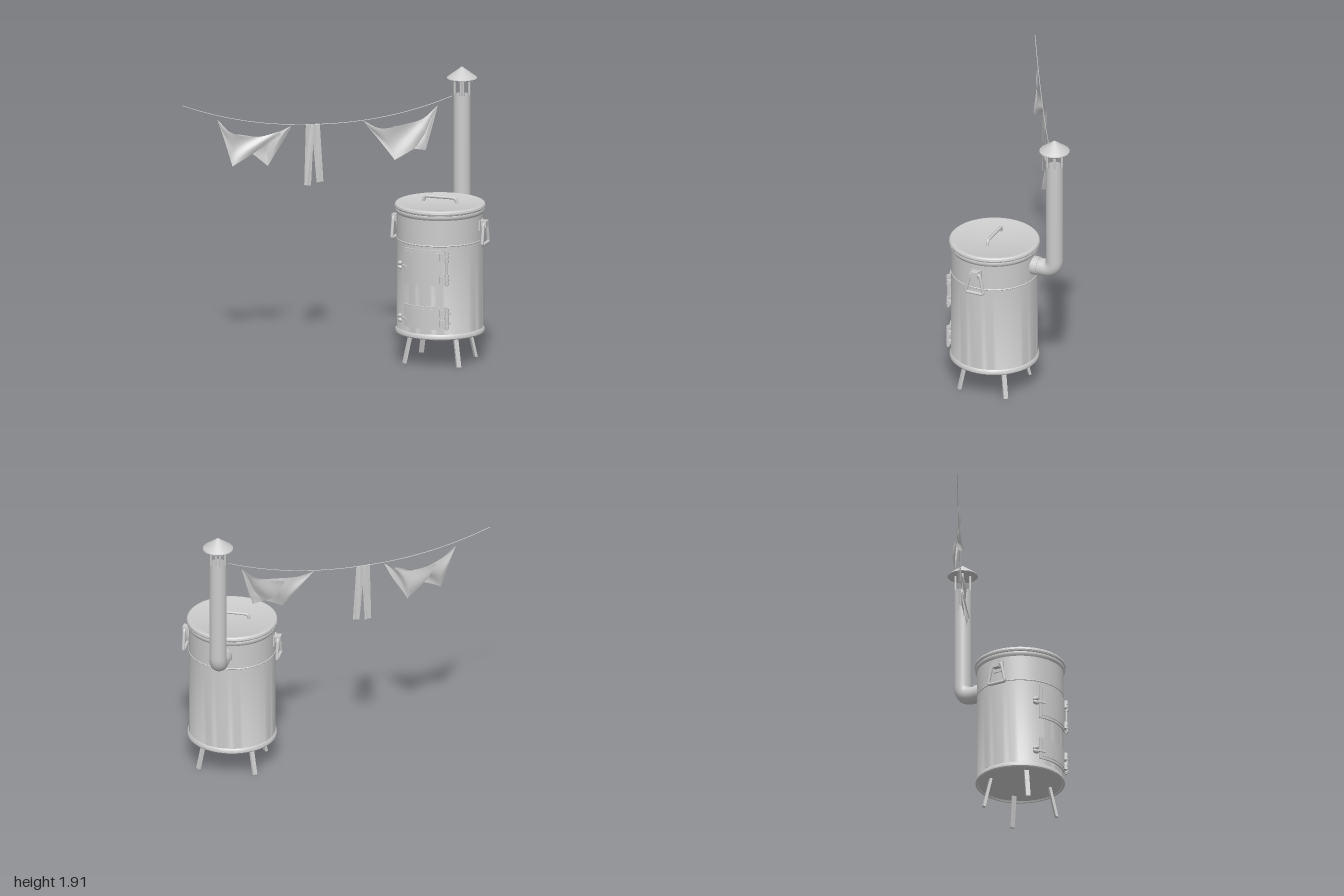
import * as THREE from 'three';
import { toCreasedNormals } from 'three/addons/utils/BufferGeometryUtils.js';

const grey = new THREE.MeshStandardMaterial({ color: 0xcccccc, roughness: 0.8 });
const thin = new THREE.MeshStandardMaterial({ color: 0xcccccc, roughness: 0.8, side: THREE.DoubleSide });
const V = (x, y, z) => new THREE.Vector3(x, y, z);

function add(parent, name, geometry, x = 0, y = 0, z = 0, material = grey) {
  const mesh = new THREE.Mesh(geometry, material);
  mesh.name = name;
  mesh.position.set(x, y, z);
  parent.add(mesh);
  return mesh;
}

function group(parent, name, x = 0, y = 0, z = 0, turn = 0) {
  const g = new THREE.Group();
  g.name = name;
  g.position.set(x, y, z);
  g.rotation.y = turn;
  parent.add(g);
  return g;
}

const lathe = (profile, sides = 64) => toCreasedNormals(
  new THREE.LatheGeometry(profile.map(([r, y]) => new THREE.Vector2(r, y)), sides), 0.6);

// Straight runs joined by rounded corners of a given radius
function roundedPath(points, radius, closed = false) {
  const path = new THREE.CurvePath();
  const n = points.length;
  const toward = (a, b) => a.clone().add(b.clone().sub(a).setLength(radius));
  const first = closed ? toward(points[0], points[1]) : points[0];
  let from = first;
  for (let i = 1; i < (closed ? n + 1 : n - 1); i++) {
    const corner = points[i % n];
    const enter = toward(corner, points[i - 1]);
    const leave = toward(corner, points[(i + 1) % n]);
    path.add(new THREE.LineCurve3(from, enter));
    path.add(new THREE.QuadraticBezierCurve3(enter, corner, leave));
    from = leave;
  }
  if (!closed) path.add(new THREE.LineCurve3(from, points[n - 1]));
  return path;
}

// Box wrapped around the drum, from one angle to another
function bentBox(a0, a1, height, inner, outer) {
  const geo = new THREE.BoxGeometry(a1 - a0, height, outer - inner, 16, 1, 1);
  const p = geo.attributes.position;
  for (let i = 0; i < p.count; i++) {
    const a = p.getX(i) + (a0 + a1) / 2;
    const r = p.getZ(i) + (inner + outer) / 2;
    p.setXYZ(i, Math.sin(a) * r, p.getY(i), Math.cos(a) * r);
  }
  geo.computeVertexNormals();
  return geo;
}

function buildDoor(parent, name, y, height, latchY) {
  const door = group(parent, name, 0, y, 0);
  const a0 = -0.605, a1 = 0.389;
  add(door, 'doorPlate', bentBox(a0, a1, height, 0.27, 0.298));
  add(door, 'doorPanel', bentBox(a0 + 0.06, a1 - 0.06, height - 0.036, 0.27, 0.302));

  // Hinge rod with two sets of knuckles and straps
  const hinge = group(door, 'hinge', Math.sin(0.486) * 0.308, 0, Math.cos(0.486) * 0.308, 0.486);
  add(hinge, 'hingeRod', new THREE.CylinderGeometry(0.008, 0.008, height + 0.005, 12));
  for (const side of [-1, 1]) {
    const cy = side * (height / 2 - 0.043);
    for (const k of [-1, 0, 1]) {
      add(hinge, 'hingeKnuckle', new THREE.CylinderGeometry(0.014, 0.014, 0.021, 14), 0, cy + k * 0.025, 0);
    }
    add(hinge, 'hingeStrap', new THREE.BoxGeometry(0.05, 0.05, 0.014), -0.022, cy, -0.006);
    add(hinge, 'hingeMount', new THREE.BoxGeometry(0.03, 0.022, 0.016), 0.014, cy, -0.008);
  }

  // Latch with a two-lobed knob
  const latch = group(door, 'latch', Math.sin(-0.69) * 0.305, latchY - y, Math.cos(0.69) * 0.305, -0.69);
  add(latch, 'latchBar', new THREE.BoxGeometry(0.07, 0.016, 0.012), 0.03, 0, -0.004);
  for (const side of [-1, 1]) {
    const lobe = add(latch, 'latchKnob', new THREE.SphereGeometry(0.018, 16, 10), -0.006, side * 0.013, 0.004);
    lobe.scale.set(1.25, 0.85, 0.8);
    lobe.rotation.z = side * 0.35;
  }
}

function buildSideHandle(parent, side) {
  const handle = group(parent, side > 0 ? 'leftHandle' : 'rightHandle');
  const x = side * 0.319;
  const ring = [V(x, 0.96, 0.04), V(x, 0.96, -0.035), V(x, 0.82, -0.065), V(x, 0.82, 0.065), V(x, 0.96, 0.035)];
  ring.shift();
  const path = roundedPath([ring[3], ring[0], ring[1], ring[2]], 0.018, true);
  add(handle, 'handleRing', new THREE.TubeGeometry(path, 100, 0.011, 10, true));
  add(handle, 'handleBracket', new THREE.BoxGeometry(0.055, 0.045, 0.05), side * 0.307, 0.955, 0);
  add(handle, 'bracketPlate', new THREE.BoxGeometry(0.016, 0.07, 0.075), side * 0.289, 0.945, 0);
}

function buildStove(parent) {
  const stove = group(parent, 'stove', 0.66, 0, 0.04);

  // Drum with rolled rims and a raised seam
  add(stove, 'drum', lathe([
    [0, 0.21], [0.28, 0.21], [0.285, 0.2], [0.294, 0.2], [0.299, 0.207], [0.299, 0.22], [0.294, 0.23],
    [0.289, 0.236], [0.289, 0.835], [0.292, 0.838], [0.292, 0.842], [0.289, 0.845], [0.289, 1.015],
    [0.296, 1.025], [0.3, 1.035], [0.298, 1.045], [0.288, 1.048], [0, 1.048],
  ]));
  add(stove, 'lid', lathe([
    [0, 1.045], [0.292, 1.045], [0.3, 1.05], [0.304, 1.06], [0.301, 1.072], [0.293, 1.079],
    [0.28, 1.08], [0.272, 1.077], [0, 1.079],
  ]));
  const grip = roundedPath([V(-0.118, 1.07, 0), V(-0.11, 1.113, 0), V(0.11, 1.113, 0), V(0.118, 1.07, 0)], 0.02);
  add(stove, 'lidHandle', new THREE.TubeGeometry(grip, 60, 0.01, 10));

  buildDoor(stove, 'upperDoor', 0.692, 0.24, 0.685);
  buildDoor(stove, 'lowerDoor', 0.35, 0.155, 0.325);
  for (const side of [-1, 1]) buildSideHandle(stove, side);

  // Splayed legs, sheared so the feet stay flat
  for (const sx of [-1, 1]) for (const sz of [-1, 1]) {
    const geo = new THREE.BoxGeometry(0.03, 0.22, 0.018);
    geo.rotateY(Math.atan2(sx, sz));
    const p = geo.attributes.position;
    for (let i = 0; i < p.count; i++) {
      const low = p.getY(i) < 0 ? 1 : 0;
      p.setXYZ(i, p.getX(i) + sx * (0.155 + low * 0.037), p.getY(i) + 0.11, p.getZ(i) + sz * (0.135 + low * 0.035));
    }
    geo.computeVertexNormals();
    add(stove, 'leg', geo);
  }

  // Flue pipe, elbow and rain cap
  const flue = roundedPath([V(0, 0.94, -0.26), V(0, 0.94, -0.44), V(0, 1.72, -0.44)], 0.075);
  add(stove, 'fluePipe', new THREE.TubeGeometry(flue, 110, 0.058, 32), 0, 0, 0, thin);
  const collar = add(stove, 'flueCollar', new THREE.CylinderGeometry(0.063, 0.063, 0.06, 32), 0, 0.94, -0.3);
  collar.rotation.x = Math.PI / 2;
  const cap = group(stove, 'rainCap', 0, 0, -0.44, 0.5);
  add(cap, 'capCone', lathe([[0, 1.84], [0.098, 1.828], [0.102, 1.832], [0.1, 1.838], [0, 1.912]], 40));
  for (let i = 0; i < 4; i++) {
    const a = i * Math.PI / 2;
    add(cap, 'capPost', new THREE.CylinderGeometry(0.008, 0.008, 0.17, 8), Math.sin(a) * 0.049, 1.76, Math.cos(a) * 0.049);
  }
}

// Plane in which the line hangs
const lineZ = x => -0.044 - 0.544 * x;

// Cloth spanned between an upper and a lower edge; each point is x, y, offset in z
function clothGeometry(top, bottom, ripple) {
  const cols = 24, rows = 10;
  const edge = pts => {
    const path = new THREE.CurvePath();
    for (let i = 1; i < pts.length; i++) path.add(new THREE.LineCurve3(V(...pts[i - 1]), V(...pts[i])));
    return t => {
      const s = Math.min(t * (pts.length - 1), pts.length - 1 - 1e-6);
      return path.curves[Math.floor(s)].getPoint(s % 1);
    };
  };
  const curve = new THREE.CatmullRomCurve3(top.map(p => V(...p)));
  const low = edge(bottom);
  const geo = new THREE.PlaneGeometry(1, 1, cols, rows);
  const p = geo.attributes.position;
  for (let i = 0; i < p.count; i++) {
    const u = p.getX(i) + 0.5, v = 0.5 - p.getY(i);
    const q = curve.getPoint(u).lerp(low(u), v);
    const fold = ripple * Math.sin(Math.PI * u) * Math.sin(u * 7 + v * 5);
    p.setXYZ(i, q.x, q.y, lineZ(q.x) + q.z + fold);
  }
  geo.computeVertexNormals();
  return geo;
}

function buildClothesline(parent) {
  const line = group(parent, 'clothesline');
  const points = [];
  for (let i = 0; i <= 16; i++) {
    const x = -1 + i * 0.1;
    points.push(V(x, 1.55 + 0.16 * Math.pow(Math.abs(x + 0.2) / 0.8, 2.15), lineZ(x)));
  }
  add(line, 'rope', new THREE.TubeGeometry(new THREE.CatmullRomCurve3(points), 80, 0.0025, 6));

  const cloth = (name, top, bottom, ripple) => add(line, name, clothGeometry(top, bottom, ripple), 0, 0, 0, thin);

  // Kerchief at the far end, two overlapping flaps
  cloth('farKerchiefFlap',
    [[-0.79, 1.605, 0], [-0.7, 1.515, 0.01], [-0.57, 1.475, 0], [-0.42, 1.51, -0.01]],
    [[-0.79, 1.6, 0], [-0.69, 1.29, 0.03], [-0.58, 1.365, 0.01], [-0.42, 1.48, -0.01]], 0.014);
  cloth('farKerchiefBackFlap',
    [[-0.68, 1.5, -0.01], [-0.54, 1.475, -0.03], [-0.45, 1.495, -0.02], [-0.355, 1.545, 0]],
    [[-0.63, 1.4, -0.01], [-0.5, 1.27, -0.04], [-0.43, 1.4, -0.02], [-0.355, 1.54, 0]], 0.014);

  // Long strip folded over the rope
  cloth('longStrip', [[-0.265, 1.553, 0.006], [-0.215, 1.553, 0.006]], [[-0.273, 1.14, 0.012], [-0.234, 1.135, 0.008]], 0.004);
  cloth('longStripBack', [[-0.235, 1.553, -0.004], [-0.185, 1.553, -0.004]], [[-0.205, 1.15, -0.008], [-0.165, 1.157, -0.008]], 0.004);

  // Kerchief nearest the flue
  cloth('nearKerchiefFlap',
    [[0.075, 1.562, 0], [0.19, 1.515, 0.03], [0.33, 1.535, 0.03], [0.43, 1.565, 0.02], [0.515, 1.65, 0]],
    [[0.075, 1.56, 0], [0.28, 1.3, 0.06], [0.385, 1.365, 0.04], [0.46, 1.44, 0.02], [0.515, 1.645, 0]], 0.016);
  cloth('nearKerchiefBackFlap',
    [[0.25, 1.515, 0], [0.36, 1.535, 0], [0.44, 1.57, 0], [0.515, 1.65, 0]],
    [[0.3, 1.4, 0.02], [0.38, 1.37, 0.03], [0.455, 1.355, 0.04], [0.515, 1.645, 0]], 0.012);
}

export function createModel() {
  const model = new THREE.Group();
  model.name = 'stoveWithClothesline';
  buildStove(model);
  buildClothesline(model);
  return model;
}
